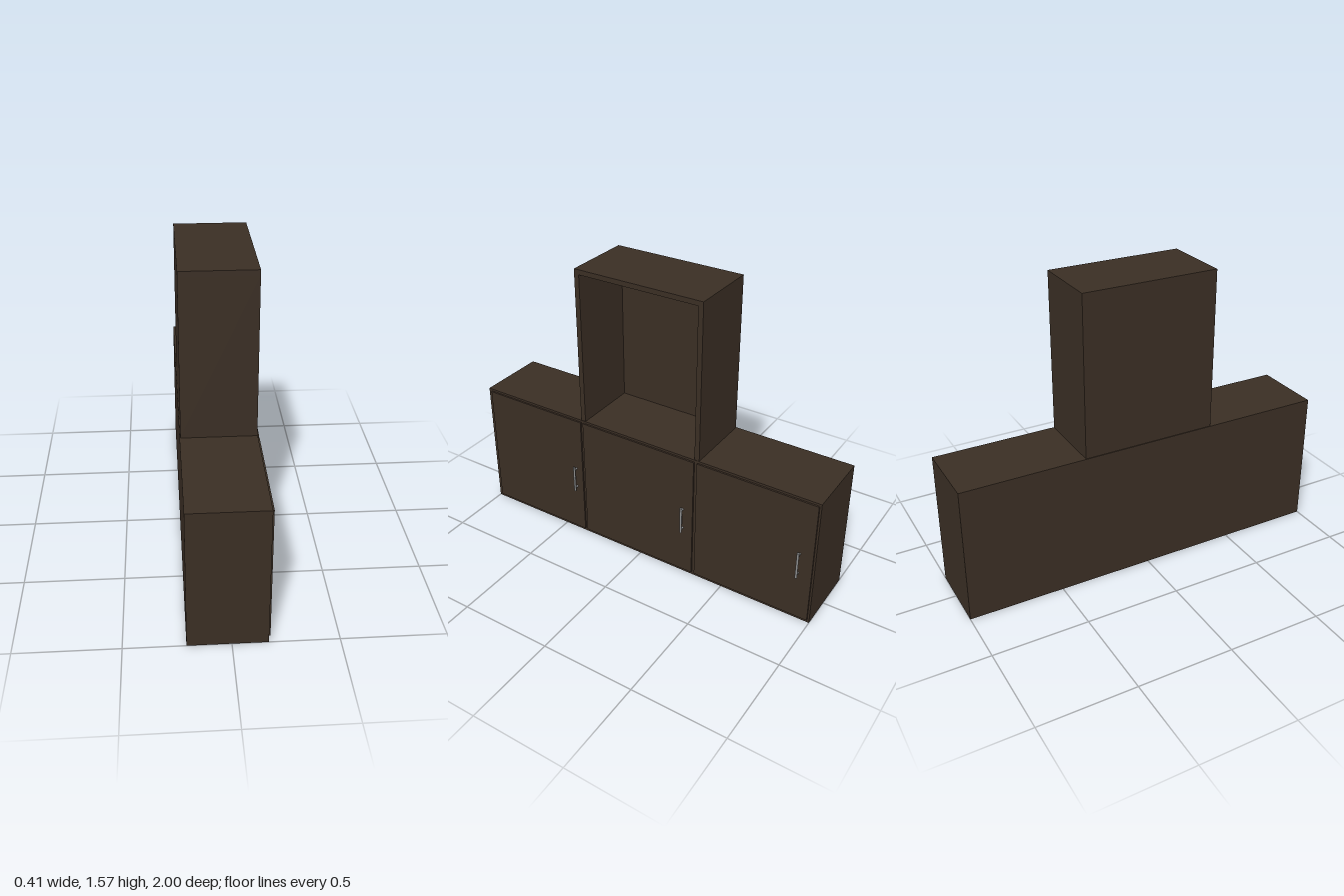
import * as THREE from 'three';

export function createModel() {
  const model = new THREE.Group();
  model.name = 'cabinet';

  const mat = (name, color) => {
    const m = new THREE.MeshStandardMaterial({ color });
    m.name = name;
    return m;
  };
  const wood = mat('dark wood', 0x3a2e24);
  const metal = mat('brushed metal', 0x8c8c8c);
  const lensGlass = mat('lamp glass', 0xc8c8c4);

  const add = (parent, name, geometry, material, x, y, z) => {
    const mesh = new THREE.Mesh(geometry, material);
    mesh.name = name;
    mesh.position.set(x, y, z);
    parent.add(mesh);
    return mesh;
  };
  // Box given by its lower and upper limits on each axis
  const box = (parent, name, [x0, x1], [y0, y1], [z0, z1]) =>
    add(parent, name, new THREE.BoxGeometry(x1 - x0, y1 - y0, z1 - z0), wood,
      (x0 + x1) / 2, (y0 + y1) / 2, (z0 + z1) / 2);

  // Low, wide base cabinet
  box(model, 'baseCarcass', [-0.208, 0.17], [0, 0.724], [-1, 1]);

  // Doors on the +x side, each with its bar handle
  const doors = [
    { z: [0.365, 0.978], handle: 0.405 },
    { z: [-0.325, 0.35], handle: -0.27 },
    { z: [-0.99, -0.342], handle: -0.92 },
  ];
  for (const d of doors) {
    box(model, 'door', [0.17, 0.179], [0.018, 0.712], d.z);
    const handle = new THREE.Group();
    handle.name = 'handle';
    handle.position.set(0.179, 0.352, d.handle);
    model.add(handle);
    add(handle, 'handleBar', new THREE.CylinderGeometry(0.006, 0.006, 0.152, 16), metal, 0.022, 0, 0);
    for (const s of [-1, 1]) {
      const post = add(handle, 'handlePost', new THREE.CylinderGeometry(0.005, 0.005, 0.022, 12), metal, 0.011, s * 0.058, 0);
      post.rotation.z = Math.PI / 2;
    }
  }

  // Tall niche standing on the base, open towards +x
  const top = new THREE.Group();
  top.name = 'upperNiche';
  model.add(top);
  const depth = [-0.204, 0.168];
  box(top, 'nicheTop', depth, [1.542, 1.568], [-0.35, 0.365]);
  box(top, 'nicheSide', depth, [0.724, 1.542], [0.338, 0.365]);
  box(top, 'nicheSide', depth, [0.724, 1.542], [-0.35, -0.323]);
  box(top, 'nicheBack', [-0.204, -0.19], [0.724, 1.542], [-0.323, 0.338]);

  // Recessed lamp under the niche top
  const ring = [[0.024, 0.008], [0.026, 0], [0.036, 0], [0.042, 0.005], [0.042, 0.01]]
    .map(([r, y]) => new THREE.Vector2(r, y));
  const rim = metal.clone();
  rim.name = 'lamp rim metal';
  rim.side = THREE.DoubleSide;
  add(top, 'lampRim', new THREE.LatheGeometry(ring, 32), rim, -0.01, 1.532, 0.005);
  add(top, 'lampLens', new THREE.CylinderGeometry(0.025, 0.025, 0.006, 24), lensGlass, -0.01, 1.539, 0.005);

  return model;
}
